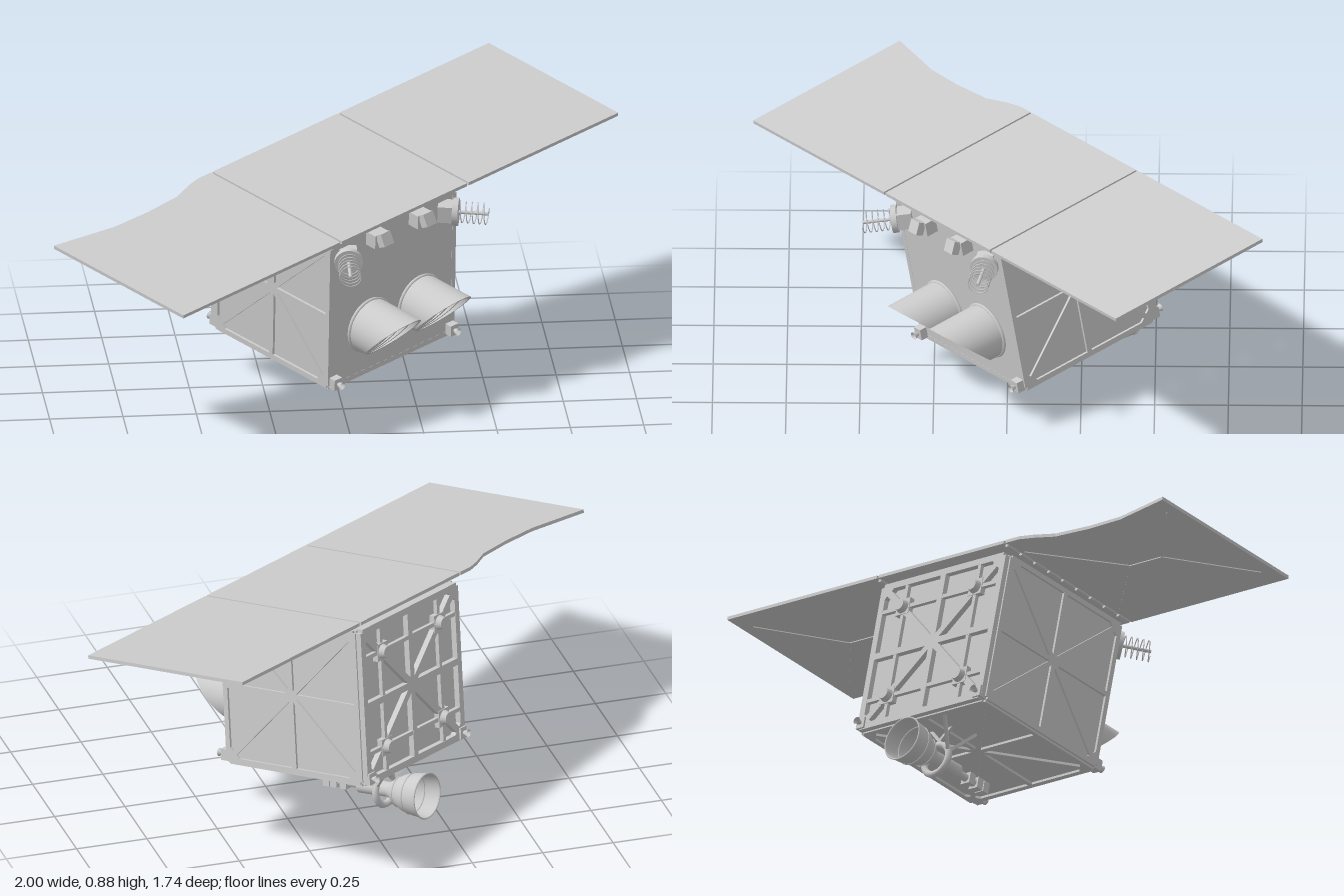
import * as THREE from 'three';

const MAT = new THREE.MeshStandardMaterial({ color: 0xcccccc, side: THREE.DoubleSide });
const V = (x, y, z) => new THREE.Vector3(x, y, z);

function add(parent, name, geo, x = 0, y = 0, z = 0) {
  const m = new THREE.Mesh(geo, MAT);
  m.name = name;
  m.position.set(x, y, z);
  parent.add(m);
  return m;
}

const group = (parent, name, x = 0, y = 0, z = 0) => {
  const g = new THREE.Group();
  g.name = name;
  g.position.set(x, y, z);
  parent.add(g);
  return g;
};

// square bar from a to b, in the parent's frame
function bar(parent, name, a, b, w = 0.018) {
  const m = add(parent, name, new THREE.BoxGeometry(w, w, a.distanceTo(b)));
  m.position.copy(a).add(b).multiplyScalar(0.5);
  m.quaternion.setFromRotationMatrix(new THREE.Matrix4().lookAt(b, a, V(0, 1, 0)));
}

// cylinder lying along z
const rod = (r0, r1, len, n = 24, open = false) =>
  new THREE.CylinderGeometry(r1, r0, len, n, 1, open).rotateX(Math.PI / 2);

// body limits
const L = -0.28, R = 0.295, B = -0.585, T = -0.035, K = -0.285, F = 0.275;

// framed face with diagonals and a cross; at(s, t) maps -1..1 to a point
function lattice(parent, name, at, w = 0.018) {
  const g = group(parent, name);
  const e = 0.97;
  const lines = [
    [-e, -e, e, -e], [e, -e, e, e], [e, e, -e, e], [-e, e, -e, -e],
    [-e, -e, e, e], [-e, e, e, -e], [0, -e, 0, e], [-e, 0, e, 0]
  ];
  for (const [a, b, c, d] of lines) bar(g, 'latticeBar', at(a, b), at(c, d), w);
  for (const s of [-1, 1]) for (const t of [-1, 1]) { // corner gussets
    bar(g, 'gusset', at(s * e, t * 0.82), at(s * 0.82, t * e), w);
  }
}

// hood: a tube whose mouth is cut at a slant, longest at the top
function hood(parent, u) {
  const r = 0.096, g = group(parent, 'sensorHood', u, -0.405, F);
  const cut = y => 0.12 + 0.09 * y / r;
  const shear = geo => {
    const p = geo.attributes.position;
    for (let i = 0; i < p.count; i++) p.setZ(i, p.getZ(i) * cut(p.getY(i)));
    geo.computeVertexNormals();
    return geo;
  };
  add(g, 'hoodShell', shear(rod(r, r, 1, 40, true).translate(0, 0, 0.5)));
  for (let i = 1; i <= 5; i++) {
    add(g, 'hoodVane', shear(new THREE.RingGeometry(r - 0.01, r, 40).translate(0, 0, i / 5)));
  }
  add(g, 'hoodCollar', new THREE.TorusGeometry(r, 0.006, 8, 40), 0, 0, 0.005);
  add(g, 'lens', rod(0.06, 0.055, 0.03), 0, 0, 0.01);
}

// coil antenna on a round base, turned outwards
function coilAntenna(parent, u, side) {
  const g = group(parent, 'coilAntenna', u, -0.085, 0.285);
  g.rotation.y = side * 0.7;
  add(g, 'antennaBase', new THREE.BoxGeometry(0.06, 0.06, 0.05), 0, 0, 0.01);
  add(g, 'antennaPlate', rod(0.048, 0.048, 0.02), 0, 0, 0.045);
  add(g, 'antennaMast', rod(0.006, 0.006, 0.11, 10), 0, 0, 0.1);
  const pts = [];
  for (let i = 0; i <= 80; i++) {
    const a = i / 80 * Math.PI * 10;
    pts.push(V(0.036 * Math.cos(a), 0.036 * Math.sin(a), 0.055 + 0.1 * i / 80));
  }
  add(g, 'antennaCoil', new THREE.TubeGeometry(new THREE.CatmullRomCurve3(pts), 160, 0.002, 5));
}

function sheet(parent, name, pts) {
  const shape = new THREE.Shape(pts.map(([x, z]) => new THREE.Vector2(x, -z)));
  const geo = new THREE.ExtrudeGeometry(shape, { depth: 0.012, bevelEnabled: false });
  add(parent, name, geo.rotateX(-Math.PI / 2), 0, -0.006, 0);
}

export function createModel() {
  const root = new THREE.Group();
  root.name = 'satellite';
  const s = group(root, 'spacecraft', 0, 0.745, 0);
  s.rotation.set(0.16, 0.667, 0);

  // body
  const cx = (L + R) / 2, cy = (B + T) / 2, cz = (K + F) / 2;
  const hx = (R - L) / 2, hy = (T - B) / 2, hz = (F - K) / 2;
  add(s, 'body', new THREE.BoxGeometry(2 * hx, 2 * hy, 2 * hz), cx, cy, cz);
  for (const x of [L, R]) {
    lattice(s, 'sideLattice', (a, b) => V(x, cy + b * hy, cz + a * hz));
  }
  lattice(s, 'bottomLattice', (a, b) => V(cx + a * hx, B, cz + b * hz));
  lattice(s, 'backLattice', (a, b) => V(cx + a * hx, cy + b * hy, K - 0.008), 0.024);

  // back separation fittings and inner frame
  const back = group(s, 'backFittings', cx, cy, K - 0.012);
  for (const a of [-1, 1]) {
    for (const b of [-1, 1]) {
      add(back, 'fitting', rod(0.02, 0.032, 0.04, 16), a * 0.17, b * 0.17, -0.01);
      add(back, 'fittingPad', new THREE.BoxGeometry(0.06, 0.06, 0.02), a * 0.17, b * 0.17, 0);
    }
    bar(back, 'innerBar', V(a * 0.17, -hy, 0), V(a * 0.17, hy, 0), 0.014);
    bar(back, 'innerBar', V(-hx, a * 0.17, 0), V(hx, a * 0.17, 0), 0.014);
  }

  // solar array: centre sheet and two wings, one with a cut-back rear edge
  const w = 0.318, M = 0.315;
  sheet(s, 'centrePanel', [[L + 0.004, -w], [M - 0.004, -w], [M - 0.004, w], [L + 0.004, w]]);
  sheet(s, 'leftWing', [[M + 0.004, -w], [1.02, -w], [1.02, w], [M + 0.004, w]]);
  sheet(s, 'rightWing', [[L - 0.004, -w], [-0.345, -w], [-0.4, -0.305], [-0.48, -0.277],
    [-0.63, -0.268], [-0.78, -0.272], [-1.02, -w], [-1.02, w], [L - 0.004, w]]);
  for (const x of [L, M]) {
    const h = group(s, 'wingHinge', x, -0.006, 0);
    for (let i = 0; i < 9; i++) add(h, 'hingeKnuckle', rod(0.008, 0.008, 0.05, 8), 0, 0, -0.28 + i * 0.07);
  }

  // thin stiffeners under the wings
  for (const [x0, x1] of [[M, 1.02], [L, -1.02]]) {
    const at = (t, z) => V(x0 + (x1 - x0) * t, -0.007, z);
    for (const z of [-0.24, 0.24]) {
      bar(s, 'wingStiffener', at(0.03, z), at(0.4, 0), 0.005);
      bar(s, 'wingStiffener', at(0.93, z), at(0.6, 0), 0.005);
    }
    bar(s, 'wingStiffener', at(0.4, 0), at(0.6, 0), 0.005);
  }
  // posts holding the array
  for (const x of [L + 0.06, R - 0.06]) for (const z of [K + 0.06, F - 0.06]) {
    add(s, 'arrayPost', new THREE.BoxGeometry(0.03, 0.035, 0.03), x, -0.02, z);
  }

  // front equipment
  hood(s, -0.1);
  hood(s, 0.135);
  coilAntenna(s, -0.215, -1);
  coilAntenna(s, 0.23, 1);
  for (const x of [-0.09, 0.11]) {
    const g = group(s, 'frontSensor', x, -0.06, F);
    add(g, 'sensorBox', new THREE.BoxGeometry(0.06, 0.05, 0.05), 0, 0, 0.02);
    const head = add(g, 'sensorHead', new THREE.BoxGeometry(0.045, 0.045, 0.03), 0, 0.01, 0.06);
    head.rotation.x = -0.5;
  }

  // small thrusters at the four lower corners
  for (const x of [L + 0.015, R - 0.015]) for (const z of [F, K]) {
    const g = group(s, 'cornerThruster', x, B + 0.02, z);
    if (z === K) g.rotation.y = Math.PI;
    add(g, 'thrusterBlock', new THREE.BoxGeometry(0.035, 0.04, 0.03), 0, 0, 0.012);
    add(g, 'thrusterNozzle', rod(0.006, 0.014, 0.02, 12, true), 0, 0, 0.036);
  }

  // main engine, slung below and firing to the back
  const e = group(s, 'mainEngine', 0.02, -0.7, 0.03);
  const bell = [[0.022, 0.21], [0.03, 0.235], [0.05, 0.265], [0.066, 0.3], [0.074, 0.34], [0.078, 0.38]]
    .map(([r, h]) => new THREE.Vector2(r, h));
  add(e, 'engineBell', new THREE.LatheGeometry(bell, 36).rotateX(-Math.PI / 2));
  for (const [r, z] of [[0.078, -0.378], [0.07, -0.32], [0.052, -0.268]]) {
    add(e, 'bellBand', new THREE.TorusGeometry(r, 0.003, 6, 36), 0, 0, z);
  }
  add(e, 'mountRing', new THREE.TorusGeometry(0.055, 0.012, 8, 32), 0, 0, -0.205);
  add(e, 'chamber', rod(0.026, 0.028, 0.13), 0, 0, -0.17);
  add(e, 'feedPipe', rod(0.014, 0.014, 0.12, 12), 0, 0, -0.05);
  for (const z of [-0.045, -0.005, 0.025]) {
    add(e, 'valve', new THREE.BoxGeometry(0.04, 0.04, 0.026), 0, 0, z);
  }
  for (const a of [-1, 1]) {
    for (const z of [-0.29, -0.12]) {
      bar(e, 'engineStrut', V(a * 0.05, 0.02, -0.205), V(a * 0.09, 0.12, z), 0.011);
    }
    bar(e, 'engineStrut', V(a * 0.02, 0.05, -0.205), V(-a * 0.05, 0.12, -0.205), 0.01);
  }
  return root;
}
